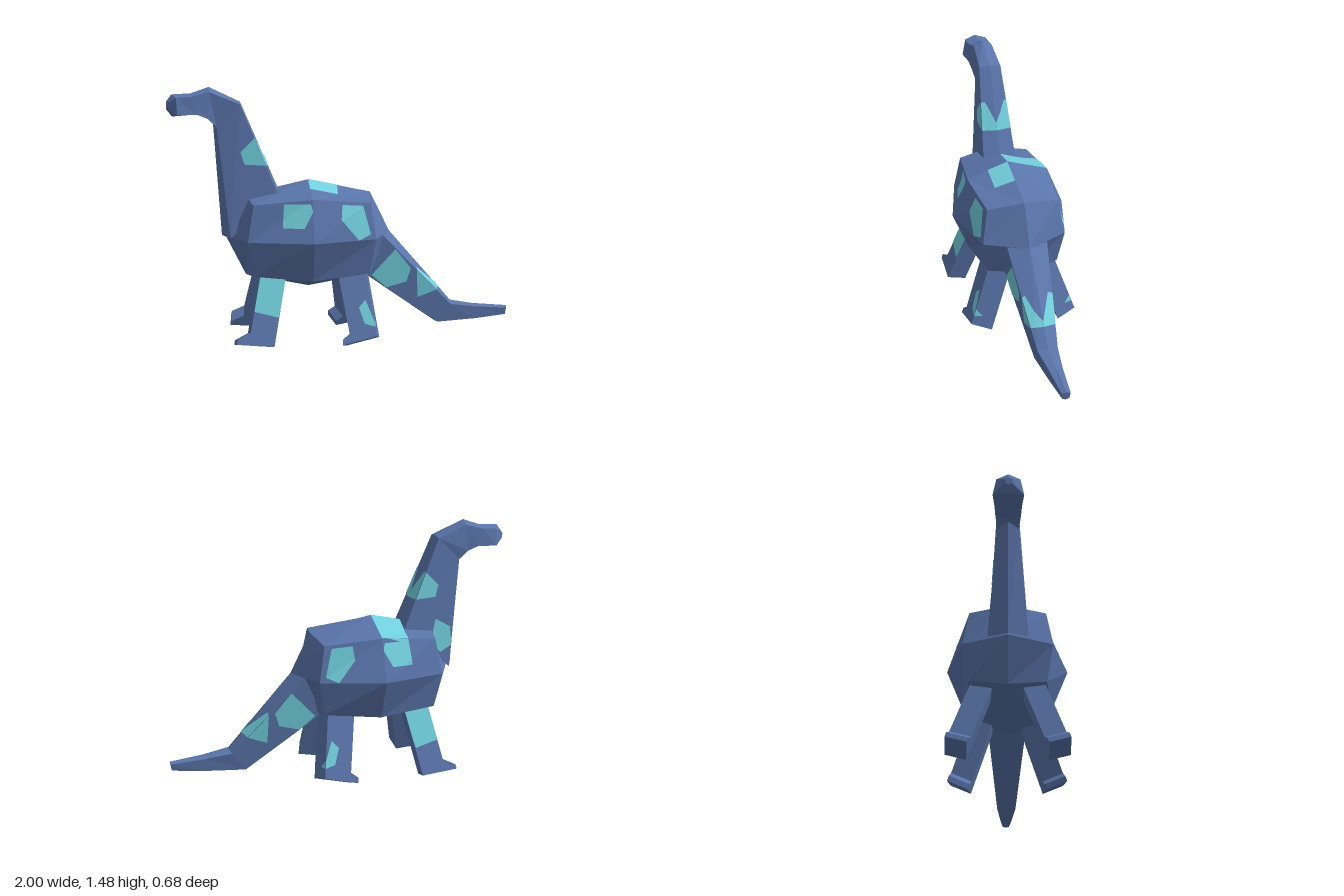
import * as THREE from 'three';

const skin = new THREE.MeshStandardMaterial({ color: 0x5a75ab, flatShading: true });
const spot = new THREE.MeshStandardMaterial({ color: 0x70d0dc, flatShading: true });

function fromPoints(points) {
  const g = new THREE.BufferGeometry().setFromPoints(points);
  g.computeVertexNormals();
  return g;
}

// Skin over hexagonal rings; each ring lists ridge, side, side, ridge and is mirrored in z
function loft(halves) {
  const rings = halves.map(h => {
    const p = h.map(c => new THREE.Vector3(...c));
    const m = [p[2], p[1]].map(v => new THREE.Vector3(v.x, v.y, -v.z));
    return [...p, ...m];
  });
  const out = [], n = 6;
  for (let i = 0; i < rings.length - 1; i++) {
    for (let k = 0; k < n; k++) {
      const a = rings[i][k], b = rings[i][(k + 1) % n];
      const c = rings[i + 1][k], d = rings[i + 1][(k + 1) % n];
      out.push(a, c, b, b, c, d);
    }
  }
  const first = rings[0], last = rings[rings.length - 1];
  for (let k = 1; k < n - 1; k++) {
    out.push(first[0], first[k], first[k + 1], last[0], last[k + 1], last[k]);
  }
  return fromPoints(out);
}

// Cut a convex polygon, projected along an axis, out of a surface and lift it slightly
function patch(geometry, axis, dir, polygon) {
  const [u, v] = ['x', 'y', 'z'].filter(a => a !== axis);
  const poly = polygon.map(p => new THREE.Vector2(...p));
  if (THREE.ShapeUtils.area(poly) < 0) poly.reverse();
  const pos = geometry.attributes.position, out = [];
  const at = i => new THREE.Vector3().fromBufferAttribute(pos, i);
  for (let i = 0; i < pos.count; i += 3) {
    let pts = [at(i), at(i + 1), at(i + 2)];
    const normal = new THREE.Triangle(...pts).getNormal(new THREE.Vector3());
    if (normal[axis] * dir < 0.05) continue;
    poly.forEach((p, e) => {
      const q = poly[(e + 1) % poly.length];
      const side = w => (q.x - p.x) * (w[v] - p.y) - (q.y - p.y) * (w[u] - p.x);
      const kept = [];
      pts.forEach((a, k) => {
        const b = pts[(k + 1) % pts.length], da = side(a), db = side(b);
        if (da >= 0) kept.push(a);
        if (da * db < 0) kept.push(a.clone().lerp(b, da / (da - db)));
      });
      pts = kept;
    });
    const lifted = pts.map(w => w.clone().addScaledVector(normal, 0.003));
    for (let k = 1; k < lifted.length - 1; k++) out.push(lifted[0], lifted[k], lifted[k + 1]);
  }
  const mesh = new THREE.Mesh(fromPoints(out), spot);
  mesh.name = 'skinPatch';
  return mesh;
}

// A named part with its colour patches: [axis, direction, polygon]
function part(name, geometry, patches) {
  const group = new THREE.Group();
  group.name = name;
  const mesh = new THREE.Mesh(geometry, skin);
  mesh.name = name + 'Skin';
  group.add(mesh, ...patches.map(p => patch(geometry, ...p)));
  return group;
}

const bothSides = polygon => [['z', 1, polygon], ['z', -1, polygon]];

// Rounded trunk: a cube split in two each way, with face centres pushed out
function trunkGeometry() {
  const size = [null, [0.48, 0.315, 0.34], [0.365, 0.235, 0.245], [0.33, 0.205, 0.21]];
  const g = new THREE.BoxGeometry(2, 2, 2, 2, 2, 2).toNonIndexed();
  const pos = g.attributes.position;
  for (let i = 0; i < pos.count; i++) {
    const c = [pos.getX(i), pos.getY(i), pos.getZ(i)].map(Math.round);
    const s = size[c.filter(Boolean).length];
    pos.setXYZ(i, c[0] * s[0] - 0.2, c[1] * s[1] + 0.63, c[2] * s[2]);
  }
  g.computeVertexNormals();
  return g;
}

// Splayed leg: outer profile in x and y, swept inwards along a slanted vector
function legGeometry(profile, inward) {
  const shape = new THREE.Shape(profile.map(p => new THREE.Vector2(...p)));
  const g = new THREE.ExtrudeGeometry(shape, { depth: 1, bevelEnabled: false });
  const pos = g.attributes.position;
  for (let i = 0; i < pos.count; i++) {
    const x = pos.getX(i), y = pos.getY(i), t = 1 - pos.getZ(i);
    const z = 0.335 - 0.346 * (y - 0.04);
    pos.setXYZ(i, x + t * inward[0], y + t * inward[1], z + t * inward[2]);
  }
  g.computeVertexNormals();
  return g;
}

export function createModel() {
  const model = new THREE.Group();
  model.name = 'longNeckedDinosaur';

  // Trunk
  model.add(part('trunk', trunkGeometry(), [
    ...bothSides([[-0.36, 0.84], [-0.21, 0.84], [-0.2, 0.8], [-0.25, 0.71], [-0.37, 0.71]]),
    ...bothSides([[-0.03, 0.83], [0.09, 0.82], [0.13, 0.66], [0.06, 0.63], [-0.04, 0.75]]),
    ['y', 1, [[-0.36, -0.24], [-0.2, -0.24], [-0.2, 0], [-0.38, 0]]],
    ['y', 1, [[-0.2, 0], [-0.03, 0], [-0.04, 0.12], [-0.2, 0.12]]],
    ['x', 1, [[0, 0.63], [0, 0.86], [-0.11, 0.86], [-0.125, 0.63]]],
    ['x', -1, [[0.1, 0.63], [0.245, 0.63], [0.21, 0.835], [0.15, 0.84]]],
  ]));

  // Neck and head, from the shoulders to the snout
  const neck = loft([
    [[-0.37, 0.89, 0], [-0.375, 0.86, 0.1], [-0.655, 0.63, 0.11], [-0.7, 0.63, 0]],
    [[-0.585, 1.4, 0], [-0.59, 1.39, 0.065], [-0.72, 1.26, 0.06], [-0.74, 1.29, 0]],
    [[-0.76, 1.485, 0], [-0.76, 1.46, 0.055], [-0.77, 1.31, 0.07], [-0.765, 1.305, 0]],
    [[-0.86, 1.45, 0], [-0.86, 1.435, 0.065], [-0.83, 1.335, 0.075], [-0.83, 1.33, 0]],
    [[-0.97, 1.445, 0], [-0.945, 1.43, 0.065], [-0.94, 1.335, 0.085], [-0.97, 1.32, 0]],
    [[-1, 1.405, 0], [-1, 1.395, 0.02], [-1, 1.37, 0.02], [-1, 1.36, 0]],
  ]);
  model.add(part('neckAndHead', neck, [
    ...bothSides([[-0.51, 1.2], [-0.43, 1.04], [-0.57, 1.05], [-0.59, 1.12]]),
    ['x', 1, [[0, 1.16], [-0.08, 1.21], [-0.09, 1.04], [0, 1.1]]],
    ['x', -1, [[0.02, 0.8], [0.07, 0.76], [0.085, 0.88], [0.06, 0.98], [0.03, 0.94]]],
    ['x', -1, [[-0.02, 1.0], [-0.07, 0.96], [-0.08, 1.06], [-0.03, 1.1]]],
    ['z', -1, [[-0.66, 0.87], [-0.57, 0.92], [-0.54, 0.78], [-0.6, 0.72], [-0.67, 0.76]]],
  ]));

  // Tail
  const tail = loft([
    [[0.1, 0.4, 0], [0.11, 0.41, 0.11], [0.22, 0.63, 0.12], [0.28, 0.63, 0]],
    [[0.56, 0.072, 0], [0.565, 0.078, 0.055], [0.645, 0.185, 0.06], [0.655, 0.195, 0]],
    [[0.8, 0.08, 0], [0.8, 0.085, 0.036], [0.8, 0.16, 0.04], [0.8, 0.168, 0]],
    [[0.99, 0.095, 0], [0.99, 0.1, 0.02], [0.995, 0.14, 0.025], [1, 0.15, 0]],
  ]);
  model.add(part('tail', tail, [
    ...bothSides([[0.3, 0.54], [0.395, 0.42], [0.37, 0.34], [0.25, 0.31], [0.16, 0.39]]),
    ...bothSides([[0.43, 0.42], [0.58, 0.29], [0.44, 0.24]]),
    ['x', 1, [[-0.09, 0.3], [0.09, 0.3], [0.1, 0.39], [0, 0.44], [-0.1, 0.39]]],
    ['x', 1, [[0, 0.545], [0.12, 0.52], [0.12, 0.43]]],
    ['x', 1, [[-0.07, 0.5], [-0.12, 0.53], [-0.12, 0.45], [-0.08, 0.45]]],
  ]));

  // Legs, each pair mirrored across the trunk
  const legs = {
    frontLeg: {
      profile: [[-0.47, 0.55], [-0.495, 0.43], [-0.56, 0.125], [-0.635, 0.09], [-0.64, 0.065],
        [-0.43, 0.045], [-0.35, 0.42], [-0.32, 0.55]],
      inward: [-0.01, -0.033, -0.115],
      spotShape: [[-0.52, 0.42], [-0.34, 0.42], [-0.4, 0.2], [-0.55, 0.24]],
    },
    hindLeg: {
      profile: [[-0.07, 0.55], [-0.05, 0.43], [0, 0.1], [-0.04, 0.07], [-0.04, 0.04],
        [0.155, 0.08], [0.11, 0.41], [0.09, 0.55]],
      inward: [0.035, -0.037, -0.115],
      spotShape: [[0.1, 0.28], [0.16, 0.13], [0.09, 0.15], [0.06, 0.24]],
    },
  };
  for (const [name, { profile, inward, spotShape }] of Object.entries(legs)) {
    const left = part(name, legGeometry(profile, inward), [['z', 1, spotShape]]);
    const right = left.clone();
    right.scale.z = -1;
    model.add(left, right);
  }
  return model;
}
